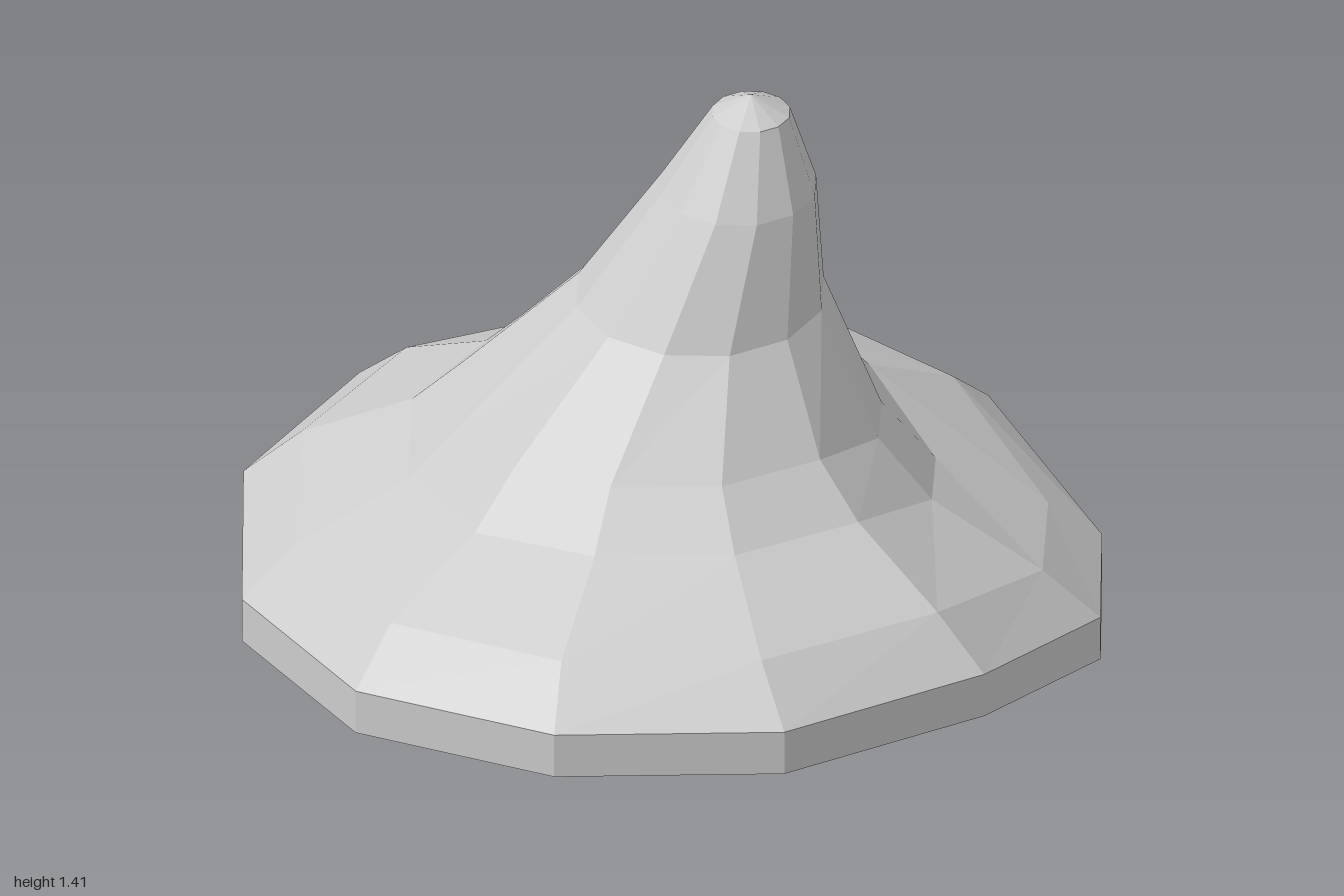
import * as THREE from 'three';

const SIDES = 12;
// Height wave of the floppy brim, starting at the front and turning towards +x
const WAVE = [0.085, -0.04, -0.14, -0.05, 0.01, -0.03, 0.005, 0.02, 0, 0.035, 0.08, 0.09];

// Skins a list of rings { r, y, x, z, wave, turn }; a ring of radius 0 is a point
function loft(name, rings, material) {
  const positions = [];
  const index = [];
  for (const { r, y, x = 0, z = 0, wave = 0, turn = 0 } of rings) {
    for (let k = 0; k < SIDES; k++) {
      const a = (k / SIDES) * Math.PI * 2 + turn;
      positions.push(x + r * Math.sin(a), y + wave * WAVE[k], z + r * Math.cos(a));
    }
  }
  for (let i = 0; i < rings.length - 1; i++) {
    for (let k = 0; k < SIDES; k++) {
      const n = (k + 1) % SIDES;
      const a = i * SIDES + k, b = i * SIDES + n;
      const c = b + SIDES, d = a + SIDES;
      if (rings[i].r > 0) index.push(a, b, c);
      if (rings[i + 1].r > 0) index.push(a, c, d);
      else index.push(); // the point closes with the first triangle alone
    }
  }
  const geometry = new THREE.BufferGeometry();
  geometry.setAttribute('position', new THREE.Float32BufferAttribute(positions, 3));
  geometry.setIndex(index);
  geometry.computeVertexNormals();
  const mesh = new THREE.Mesh(geometry, material);
  mesh.name = name;
  return mesh;
}

export function createModel() {
  const group = new THREE.Group();
  group.name = 'pointedHat';
  const material = new THREE.MeshStandardMaterial({ color: 0xcccccc, flatShading: true });

  const brimTop = { r: 0.61, y: 0.5, wave: 0.85 };

  // Brim: hollow underside, thick wavy rim, sloping upper face
  group.add(loft('brim', [
    { r: 0, y: 0.39 },
    { r: 1, y: 0.14, wave: 1, turn: 0.022 },
    { r: 1, y: 0.25, wave: 1, turn: 0.022 },
    { r: 0.87, y: 0.365, wave: 1 },
    brimTop,
  ], material));

  // Crown: leaning cone that narrows to a blunt tip
  group.add(loft('crown', [
    brimTop,
    { r: 0.485, y: 0.63, wave: 0.6 },
    { r: 0.285, y: 0.905, x: 0.05, z: 0.04 },
    { r: 0.18, y: 1.18, x: 0.12, z: 0.09 },
    { r: 0.09, y: 1.365, x: 0.15, z: 0.1 },
    { r: 0, y: 1.41, x: 0.15, z: 0.1 },
  ], material));

  return group;
}
